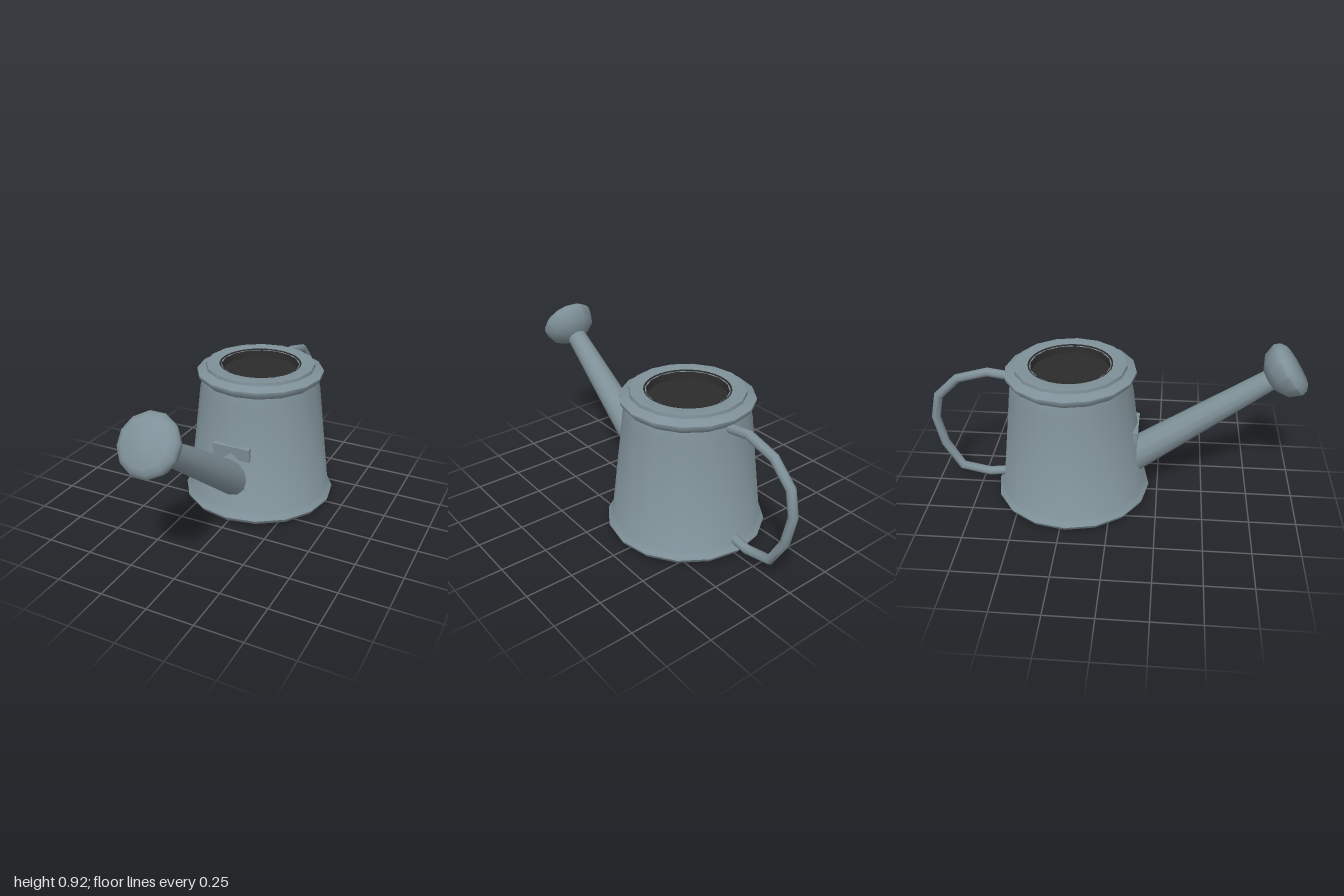
import * as THREE from 'three';
import { toCreasedNormals } from 'three/addons/utils/BufferGeometryUtils.js';

const metal = new THREE.MeshStandardMaterial({ color: 0x7f9098 });
metal.name = 'blue grey metal';
const dark = new THREE.MeshStandardMaterial({ color: 0x2b2b2b });
dark.name = 'dark inside';

const BODY_Z = -0.22;

// Revolved part from [radius, height] pairs, listed bottom to top
function revolve(name, profile, sides, material, crease = 0.87) {
  const points = profile.map(([r, y]) => new THREE.Vector2(r, y));
  const geometry = toCreasedNormals(new THREE.LatheGeometry(points, sides), crease);
  const mesh = new THREE.Mesh(geometry, material);
  mesh.name = name;
  return mesh;
}

export function createModel() {
  const can = new THREE.Group();
  can.name = 'wateringCan';

  // Tapered body with foot roll, shoulder roll and a collar
  const body = revolve('body', [
    [0, 0], [0.385, 0], [0.412, 0.015], [0.423, 0.036], [0.413, 0.053], [0.397, 0.067],
    [0.33, 0.65], [0.316, 0.705], [0.345, 0.735], [0.345, 0.75], [0.298, 0.77],
    [0.295, 0.787], [0.25, 0.787], [0.21, 0.78],
  ], 16, metal);
  body.position.z = BODY_Z;
  can.add(body);

  // Dark shallow well in the opening
  const opening = revolve('opening', [[0.222, 0.786], [0.214, 0.784], [0.205, 0.74], [0, 0.735]], 32, dark);
  opening.position.z = BODY_Z;
  can.add(opening);

  // Spout and rose share one sloping axis, local +y runs outwards
  const spoutGroup = new THREE.Group();
  spoutGroup.name = 'spoutAssembly';
  spoutGroup.position.set(0, 0.1, -0.073);
  spoutGroup.rotation.x = Math.acos(0.585);
  can.add(spoutGroup);

  const spout = new THREE.Mesh(new THREE.CylinderGeometry(0.054, 0.097, 1.0, 12, 1, true), metal);
  spout.name = 'spout';
  spout.position.y = 0.6;
  spoutGroup.add(spout);

  const rose = revolve('rose', [
    [0, 1.08], [0.065, 1.085], [0.128, 1.13], [0.152, 1.195], [0.142, 1.218], [0.114, 1.238], [0, 1.24],
  ], 12, metal);
  rose.rotation.y = Math.PI / 12;
  spoutGroup.add(rose);

  // Small plate where the spout meets the body
  const plate = new THREE.Mesh(new THREE.BoxGeometry(0.21, 0.075, 0.04), metal);
  plate.name = 'spoutPlate';
  plate.position.set(0, 0.403, 0.118);
  plate.rotation.x = 0.1;
  can.add(plate);

  // Bent handle, one tube section per path point
  const path = [
    [0.69, -0.5], [0.715, -0.665], [0.67, -0.83], [0.56, -0.945], [0.425, -0.974],
    [0.26, -0.94], [0.108, -0.855], [0.075, -0.7], [0.09, -0.58],
  ].map(([y, z]) => new THREE.Vector3(0, y, z));
  const curve = new THREE.CatmullRomCurve3(path);
  curve.getPointAt = curve.getPoint;
  curve.getTangentAt = curve.getTangent;
  const handle = new THREE.Mesh(new THREE.TubeGeometry(curve, path.length - 1, 0.025, 8), metal);
  handle.name = 'handle';
  can.add(handle);

  return can;
}
